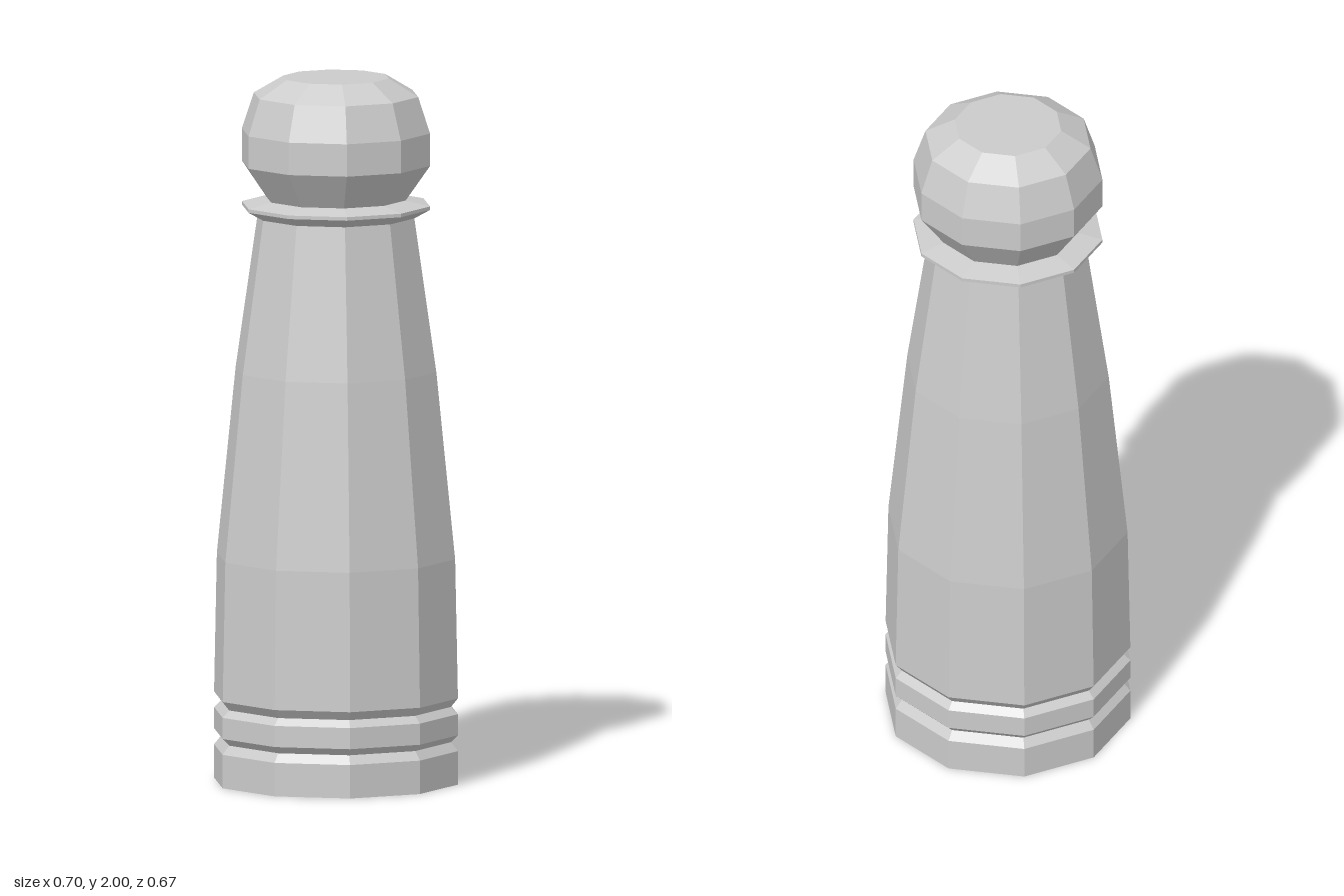
import * as THREE from 'three';

const SIDES = 10;

// Ten-sided turned part from a bottom-to-top [radius, height] profile, with a corner on +x
function turned(name, profile, material) {
  const points = profile.map(([r, y]) => new THREE.Vector2(r, y));
  const mesh = new THREE.Mesh(new THREE.LatheGeometry(points, SIDES, Math.PI / 2), material);
  mesh.name = name;
  return mesh;
}

export function createModel() {
  const group = new THREE.Group();
  group.name = 'turnedPeg';
  const material = new THREE.MeshStandardMaterial({ color: 0xcccccc, flatShading: true });

  // Base with two V grooves
  group.add(turned('groovedBase', [
    [0, 0], [0.35, 0], [0.35, 0.095], [0.33, 0.12], [0.35, 0.14],
    [0.35, 0.2], [0.33, 0.22], [0.35, 0.245],
  ], material));

  // Tapering body
  group.add(turned('body', [
    [0.35, 0.245], [0.342, 0.64], [0.288, 1.17], [0.225, 1.605],
  ], material));

  // Thin flared collar
  group.add(turned('collar', [
    [0.225, 1.605], [0.27, 1.63], [0.27, 1.64], [0.2, 1.655],
  ], material));

  // Faceted round head with a flat top
  group.add(turned('head', [
    [0.2, 1.655], [0.27, 1.755], [0.27, 1.847], [0.236, 1.95], [0.152, 2], [0, 2],
  ], material));

  return group;
}
